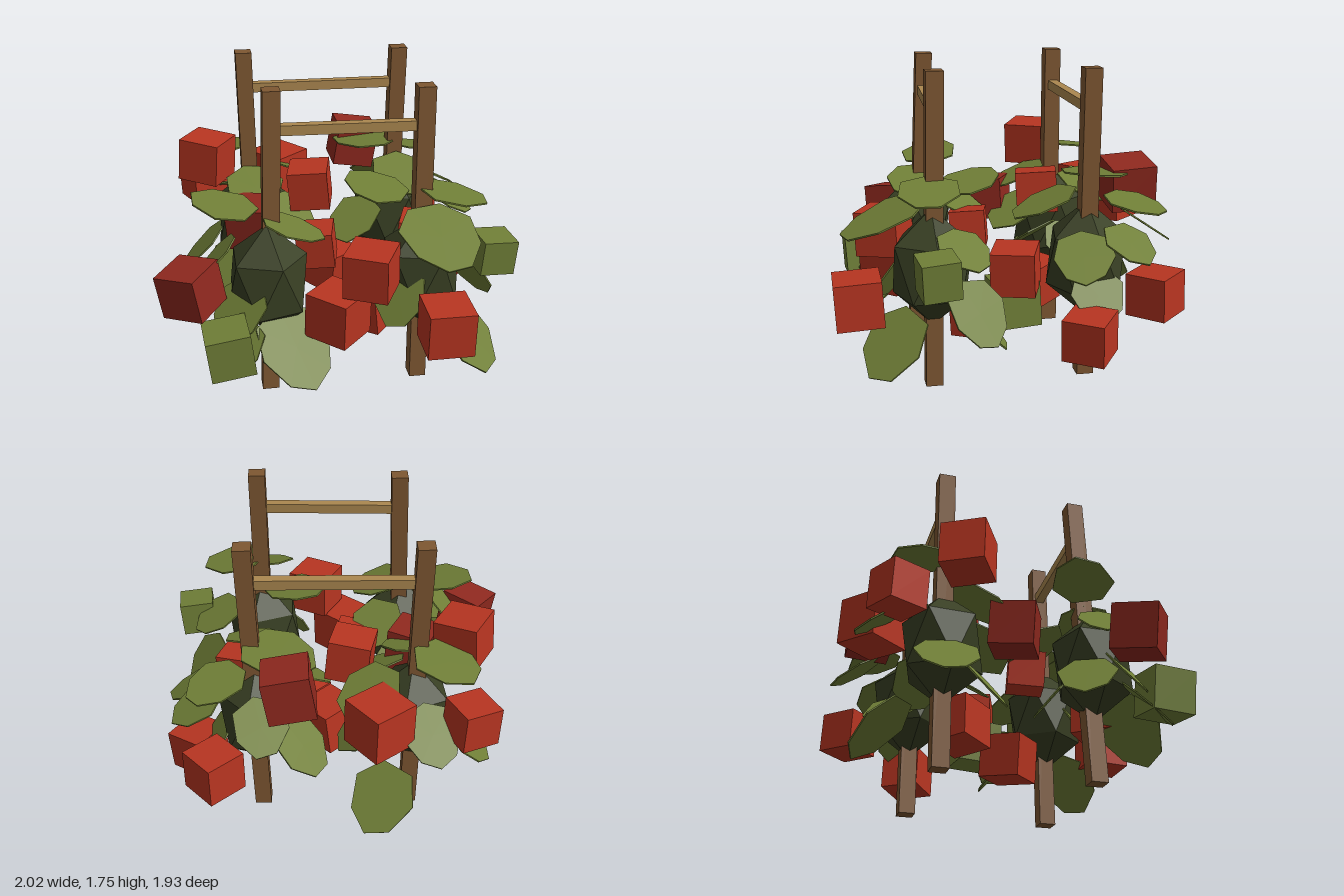
import * as THREE from 'three';

const mat = (name, color) => {
  const m = new THREE.MeshStandardMaterial({ color, flatShading: true });
  m.name = name;
  return m;
};

export function createModel() {
  const model = new THREE.Group();
  model.name = 'plantPatch';
  const stakeWood = mat('stake wood', 0x7e5732);
  const railWood = mat('rail wood', 0xac8850);
  const red = mat('ripe red', 0xb83521);
  const darkRed = mat('deep red', 0x90291f);
  const leafGreen = mat('leaf green', 0x707f37);
  const bushGreen = mat('bush green', 0x394024);
  const up = new THREE.Vector3(0, 1, 0);

  const add = (name, geometry, material, x, y, z) => {
    const mesh = new THREE.Mesh(geometry, material);
    mesh.name = name;
    mesh.position.set(x, y, z);
    model.add(mesh);
    return mesh;
  };

  // Leaning stakes: base x, base z, top x, top z
  const H = 1.745;
  const stakes = [
    [-0.395, 0.42, -0.35, 0.352], [0.465, 0.42, 0.465, 0.395],
    [-0.395, -0.44, -0.43, -0.45], [0.465, -0.44, 0.502, -0.44],
  ];
  for (const [bx, bz, tx, tz] of stakes) {
    const g = new THREE.BoxGeometry(0.095, H, 0.095).translate(0, H / 2, 0);
    const p = g.attributes.position;
    for (let i = 0; i < p.count; i++) {
      const t = p.getY(i) / H;
      p.setX(i, p.getX(i) + (tx - bx) * t);
      p.setZ(i, p.getZ(i) + (tz - bz) * t);
    }
    g.computeVertexNormals();
    add('stake', g, stakeWood, bx, 0, bz);
  }

  // Rails between each pair of stakes
  const rails = [[-0.35, 0.365, 0.465, 0.395], [-0.425, -0.45, 0.495, -0.44]];
  for (const [x1, z1, x2, z2] of rails) {
    const rail = add('rail', new THREE.BoxGeometry(Math.hypot(x2 - x1, z2 - z1), 0.055, 0.055),
      railWood, (x1 + x2) / 2, 1.528, (z1 + z2) / 2);
    rail.rotation.y = -Math.atan2(z2 - z1, x2 - x1);
  }

  // Dark faceted bush around each stake, one corner pointing up
  stakes.forEach(([bx, bz], i) => {
    const g = new THREE.IcosahedronGeometry(0.245, 0);
    g.rotateX(-1.017).rotateY(i * 1.3 + 0.3).scale(1, 1.35, 1);
    add('bush', g, bushGreen, bx, 0.68, bz);
  });

  // Block fruits: x, y, z, size, yaw in degrees, roll in degrees, material
  const fruits = [
    [-0.69, 0.84, -0.74, 0.22, 25, 4, red],
    [-0.195, 0.87, -0.785, 0.265, 38, 3, red],
    [0.28, 1.06, -0.73, 0.255, 2, -9, darkRed],
    [0.70, 0.54, -0.77, 0.235, 42, 2, red],
    [-0.67, 1.13, -0.37, 0.25, -30, -5, red],
    [-0.06, 0.95, -0.28, 0.24, -13, 5, red],
    [-0.43, 0.83, -0.04, 0.25, -25, 4, darkRed],
    [-0.08, 0.74, 0.13, 0.21, -13, 6, red],
    [0.57, 0.68, -0.02, 0.24, -20, -4, red],
    [0.24, 0.32, 0.12, 0.25, -42, 4, red],
    [0.06, 0.43, -0.22, 0.25, 40, -4, red],
    [-0.82, 0.71, 0.52, 0.25, -36, 8, darkRed],
    [0.14, 0.81, 0.65, 0.25, -27, 0, red],
    [-0.03, 0.54, 0.6, 0.26, -43, -3, red],
    [0.52, 0.54, 0.825, 0.255, 0, 0, red],
    [0.83, 0.37, -0.37, 0.235, -35, -6, red],
    [0.88, 0.77, 0.44, 0.20, 6, -4, leafGreen],
    [-0.64, 0.45, 0.73, 0.24, 3, 7, leafGreen],
    [0.46, 0.46, -0.03, 0.25, 4, 3, leafGreen],
  ];
  for (const [x, y, z, s, yaw, roll, m] of fruits) {
    const cube = add(m === leafGreen ? 'unripeFruit' : 'fruit', new THREE.BoxGeometry(s, s, s), m, x, y, z);
    cube.rotation.set(0.05, THREE.MathUtils.degToRad(yaw), THREE.MathUtils.degToRad(roll), 'ZYX');
  }

  // Leaves: thin plates with a narrower tip, leaning away from the nearest stake
  const addLeaf = ([x, y, z, r, tilt], i) => {
    const g = new THREE.CylinderGeometry(0.95, 0.95, 0.009, 7 + (i % 2)).rotateY(i * 0.7);
    const p = g.attributes.position;
    for (let k = 0; k < p.count; k++) {
      p.setX(k, p.getX(k) * (1 - 0.2 * p.getZ(k)));
    }
    g.scale(r, 1, r * 1.15).computeVertexNormals();
    const leaf = add('leaf', g, leafGreen, x, y, z);
    const cx = x < 0 ? -0.395 : 0.465, cz = z < 0 ? -0.44 : 0.42;
    const d = new THREE.Vector3(x - cx, 0, z - cz).normalize();
    const normal = d.clone().multiplyScalar(Math.sin(tilt)).addScaledVector(up, Math.cos(tilt));
    const side = new THREE.Vector3().crossVectors(up, d).normalize();
    const along = new THREE.Vector3().crossVectors(side, normal);
    leaf.quaternion.setFromRotationMatrix(new THREE.Matrix4().makeBasis(side, normal, along));
  };
  // Upper leaves: x, y, z, radius, tilt
  const upperLeaves = [
    [-0.62, 1.09, 0.29, 0.18, -0.2], [0.25, 1.1, 0.18, 0.18, -0.2],
    [0.63, 1.14, 0.45, 0.18, 0.2], [-0.25, 0.99, 0.43, 0.17, 0.35],
    [-0.22, 0.85, 0.15, 0.17, 0.5], [0.67, 1.04, -0.65, 0.16, 0.2],
    [0.43, 0.85, -0.79, 0.16, 0.6], [0.33, 1.14, -0.53, 0.2, 0.1],
    [-0.14, 0.95, -0.62, 0.18, 0.4], [-0.48, 0.77, -0.78, 0.17, 0.6],
    [-0.56, 1.12, -0.6, 0.18, 0.15], [0.74, 0.85, 0.28, 0.15, 0.5],
    [0.48, 1.02, -0.19, 0.18, 0.4], [0.51, 0.99, 0.68, 0.23, 0.4],
    [-0.2, 0.8, -0.17, 0.18, 0.5], [-0.4, 0.97, -0.22, 0.18, 0.4],
    [0.19, 0.75, -0.17, 0.17, 0.6], [0.82, 0.8, -0.33, 0.17, 0.55],
    [0.79, 0.85, -0.59, 0.15, 0.5], [-0.67, 0.83, 0.38, 0.14, 0.8],
  ];
  // Lower leaves hang steeper
  const lowerLeaves = [
    [0.71, 0.35, 0.66, 0.2, 0.85], [-0.72, 0.5, -0.48, 0.18, 0.8],
    [0.7, 0.54, -0.45, 0.16, 0.9], [-0.57, 0.58, 0.57, 0.18, 0.9],
    [0.31, 0.6, 0.6, 0.16, 1.0], [0.82, 0.53, 0.22, 0.18, 0.95],
    [-0.1, 0.6, -0.5, 0.17, 0.8], [-0.27, 0.38, 0.67, 0.23, 0.8],
    [-0.22, 0.26, -0.73, 0.2, 0.75], [-0.6, 0.4, 0.65, 0.17, 0.8],
    [0.5, 0.34, 0.12, 0.17, 0.9], [-0.4, 0.5, 0.2, 0.18, 0.9],
    [-0.67, 0.5, 0.28, 0.17, 0.9], [-0.55, 0.45, -0.25, 0.18, 0.9],
    [0.22, 0.55, -0.6, 0.18, 0.8],
  ];
  [...upperLeaves, ...lowerLeaves].forEach(addLeaf);

  return model;
}
